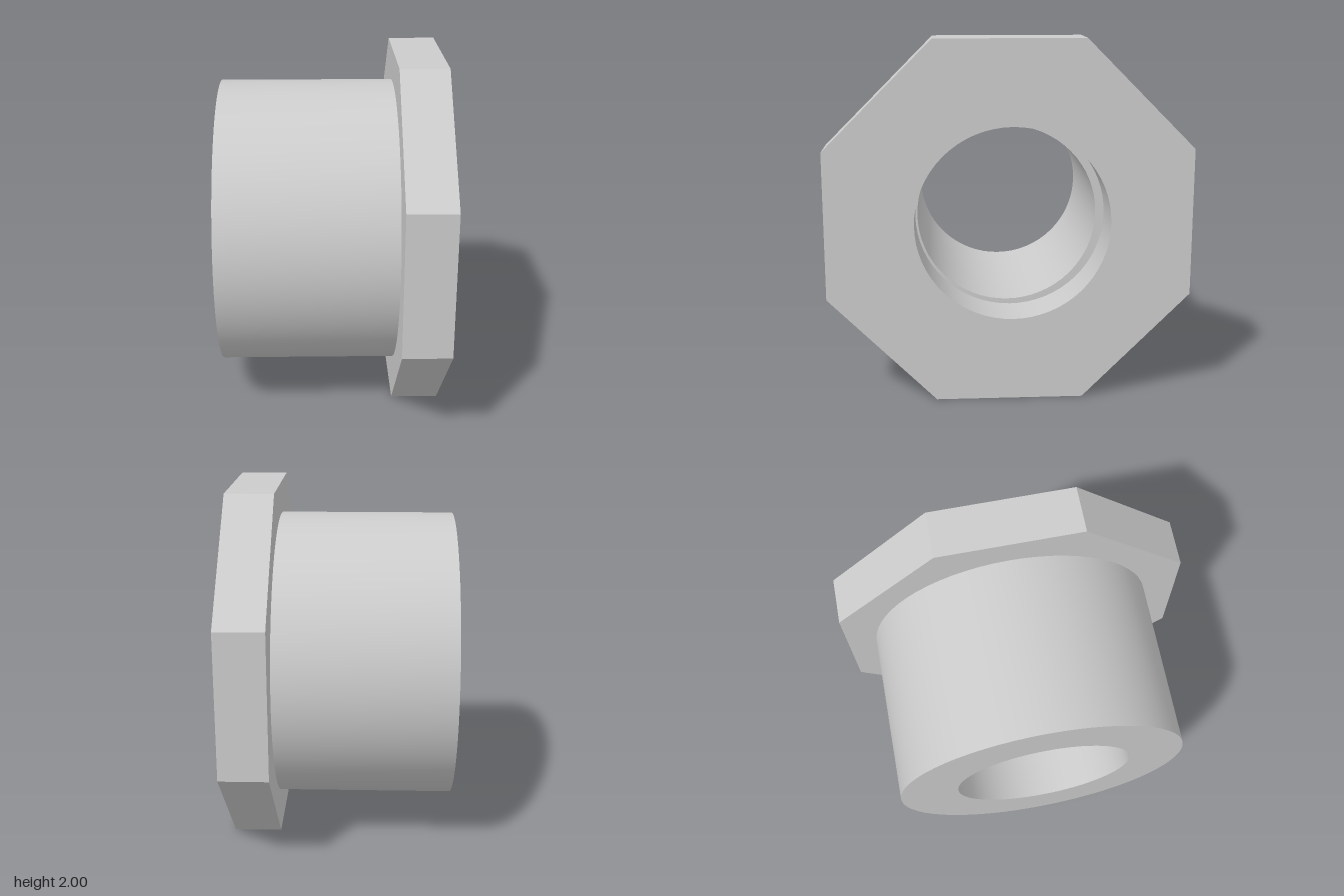
import * as THREE from 'three';
import { toCreasedNormals } from 'three/addons/utils/BufferGeometryUtils.js';

const material = new THREE.MeshStandardMaterial({ color: 0xcccccc });

// Extrude a shape with a round hole along x; shape x runs towards -z
function addRing(group, name, shape, hole, x0, x1) {
  const path = new THREE.Path();
  path.absarc(hole.x, hole.y, hole.r, 0, Math.PI * 2, true);
  shape.holes.push(path);
  const geometry = new THREE.ExtrudeGeometry(shape, { depth: x1 - x0, bevelEnabled: false, curveSegments: 32 });
  geometry.rotateY(Math.PI / 2).translate(x0, 0, 0);
  const mesh = new THREE.Mesh(toCreasedNormals(geometry, Math.PI / 6), material);
  mesh.name = name;
  group.add(mesh);
}

export function createModel() {
  const group = new THREE.Group();
  group.name = 'flangedBushing';

  // Round sleeve; its end face forms the small ledge inside the flange hole
  const sleeve = new THREE.Shape();
  sleeve.absarc(0.008, 0.993, 0.828, 0, Math.PI * 2, false);
  addRing(group, 'sleeve', sleeve, { x: 0, y: 1, r: 0.505 }, -0.63, 0.36);

  // Octagonal flange with a slightly wider, slightly offset hole
  const a = 0.407;
  const flange = new THREE.Shape(
    [[1, -a], [1, a], [a, 1], [-a, 1], [-1, a], [-1, -a], [-a, -1], [a, -1]]
      .map(([x, y]) => new THREE.Vector2(x, y + 1))
  );
  addRing(group, 'flange', flange, { x: 0.018, y: 1, r: 0.535 }, 0.36, 0.63);

  return group;
}
